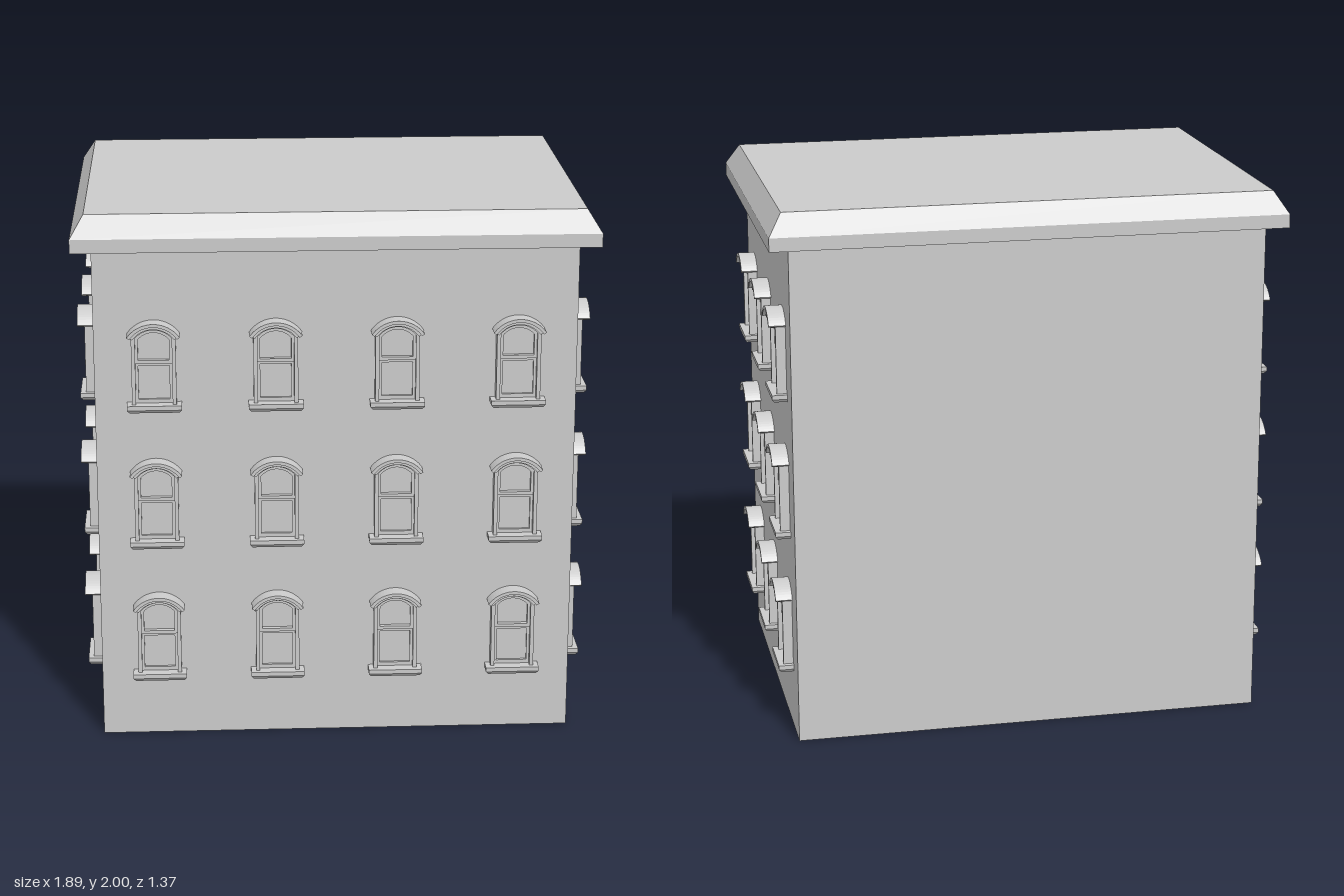
import * as THREE from 'three';

const material = new THREE.MeshStandardMaterial({ color: 0xcccccc });

// Building footprint (the body sits slightly behind centre, balancing the front hoods)
const HALF_X = 0.872, HALF_Z = 0.629, MID_Z = -0.005;
const EAVES = 1.87, WALL = 0.03;

function mesh(name, geometry) {
  const m = new THREE.Mesh(geometry, material);
  m.name = name;
  return m;
}

// Box standing on y = 0 with a middle edge ring; one end is drawn in for a chamfer
function chamferedBlock(w, h, d, yMid, end, inset, insetBack) {
  const g = new THREE.BoxGeometry(w, h, d, 1, 2, 1);
  const p = g.attributes.position;
  for (let i = 0; i < p.count; i++) {
    const level = Math.sign(Math.round(p.getY(i) * 1e4));
    const x = p.getX(i), z = p.getZ(i);
    p.setY(i, level === 0 ? yMid : level > 0 ? h : 0);
    if (level === end) {
      p.setX(i, x - Math.sign(x) * inset);
      if (z > 0 || insetBack) p.setZ(i, z - Math.sign(z) * inset);
    }
  }
  const flat = g.toNonIndexed();
  flat.computeVertexNormals();
  return flat;
}

function extrude(shape, depth) {
  return new THREE.ExtrudeGeometry(shape, { depth, bevelEnabled: false, curveSegments: 10 });
}

function rectangle(target, x0, x1, y0, y1) {
  target.moveTo(x0, y0);
  target.lineTo(x1, y0);
  target.lineTo(x1, y1);
  target.lineTo(x0, y1);
  target.closePath();
  return target;
}

// All window arches share one centre
const ARCH_Y = 0.22;

// Upright opening with a segmental arched head
function archedOutline(target, half, y0, radius) {
  const a = Math.acos(half / radius);
  target.moveTo(-half, y0);
  target.lineTo(half, y0);
  target.absarc(0, ARCH_Y, radius, a, Math.PI - a, false);
  target.closePath();
  return target;
}

// Curved band for the hood
function archBand(inner, outer, halfAngle) {
  const a = Math.PI / 2 - halfAngle, b = Math.PI / 2 + halfAngle;
  const s = new THREE.Shape();
  s.absarc(0, ARCH_Y, outer, a, b, false);
  s.absarc(0, ARCH_Y, inner, b, a, true);
  s.closePath();
  return s;
}

// Window parts: local z = 0 is the wall face, y = 0 the underside of the sill
function windowParts() {
  const frame = archedOutline(new THREE.Shape(), 0.08, 0.02, 0.1);
  frame.holes.push(archedOutline(new THREE.Path(), 0.066, 0.025, 0.086));

  const upper = archedOutline(new THREE.Shape(), 0.066, 0.178, 0.086);
  upper.holes.push(archedOutline(new THREE.Path(), 0.056, 0.19, 0.073));

  const lower = rectangle(new THREE.Shape(), -0.066, 0.066, 0.025, 0.18);
  lower.holes.push(rectangle(new THREE.Path(), -0.056, 0.056, 0.042, 0.168));

  const glass = new THREE.ShapeGeometry(archedOutline(new THREE.Shape(), 0.066, 0.025, 0.086), 10);
  glass.translate(0, 0, 0.004);

  const sill = chamferedBlock(0.198, 0.028, 0.056, 0.012, -1, 0.009, false);
  sill.translate(0, 0, 0.028);

  return {
    frame: extrude(frame, 0.036),
    upperSash: extrude(upper, 0.022),
    lowerSash: extrude(lower, 0.014),
    glass,
    sill,
    innerHood: extrude(archBand(0.092, 0.106, 0.95), 0.05),
    outerHood: extrude(archBand(0.103, 0.115, 0.97), 0.062),
  };
}

export function createModel() {
  const model = new THREE.Group();
  model.name = 'building';

  // Hollow walls, open underneath
  const plan = rectangle(new THREE.Shape(), -HALF_X, HALF_X, -HALF_Z, HALF_Z);
  const ix = HALF_X - WALL, iz = HALF_Z - WALL;
  plan.holes.push(rectangle(new THREE.Path(), -ix, ix, -iz, iz));
  const walls = mesh('walls', extrude(plan, EAVES).rotateX(-Math.PI / 2));
  walls.position.z = MID_Z;
  model.add(walls);

  // Overhanging roof slab with a sloped upper edge
  const roof = mesh('roof', chamferedBlock(1.89, 0.13, 1.362, 0.05, 1, 0.05, true));
  roof.position.set(0, EAVES, MID_Z);
  model.add(roof);

  // Three storeys of windows on the front and both sides; the back is blank
  const parts = windowParts();
  const addWindow = (name, x, y, z, turn) => {
    const group = new THREE.Group();
    group.name = name;
    for (const [part, geometry] of Object.entries(parts)) group.add(mesh(part, geometry));
    group.position.set(x, y, z);
    group.rotation.y = turn;
    model.add(group);
  };
  for (const y of [0.23, 0.753, 1.276]) {
    for (const x of [-0.657, -0.219, 0.219, 0.657]) {
      addWindow('frontWindow', x, y, MID_Z + HALF_Z, 0);
    }
    for (const z of [-0.42, 0, 0.42]) {
      addWindow('leftWindow', HALF_X, y, z + MID_Z, Math.PI / 2);
      addWindow('rightWindow', -HALF_X, y, z + MID_Z, -Math.PI / 2);
    }
  }
  return model;
}
